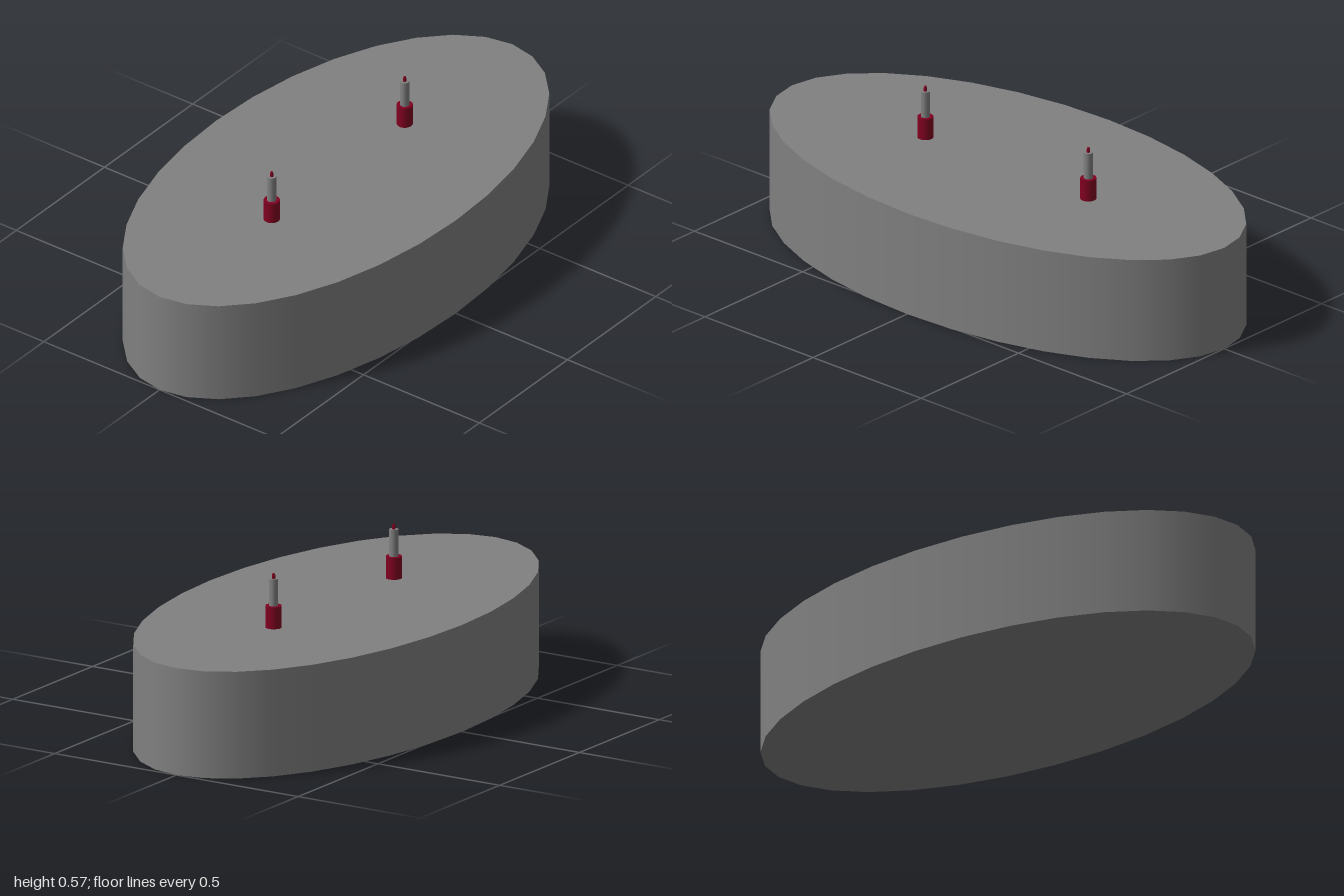
import * as THREE from 'three';

export function createModel() {
  const model = new THREE.Group();
  model.name = 'ovalBaseWithCandles';

  const grey = new THREE.MeshStandardMaterial({ color: 0x808080 });
  grey.name = 'grey';
  const burgundy = new THREE.MeshStandardMaterial({ color: 0x800020 });
  burgundy.name = 'burgundy';

  // Upright cylinder standing on height y
  function addCylinder(parent, name, material, rTop, rBottom, y, height, sides) {
    const geometry = new THREE.CylinderGeometry(rTop, rBottom, height, sides);
    geometry.translate(0, y + height / 2, 0);
    const mesh = new THREE.Mesh(geometry, material);
    mesh.name = name;
    parent.add(mesh);
    return mesh;
  }

  // Oval base: a 32-sided drum narrowed across x
  const base = addCylinder(model, 'ovalBase', grey, 1, 1, 0, 0.381, 32);
  base.geometry.scale(0.518, 1, 1);

  // Two candles: holder, stick and pointed wick
  for (const [name, z] of [['frontCandle', 0.375], ['backCandle', -0.379]]) {
    const candle = new THREE.Group();
    candle.name = name;
    candle.position.set(0.008, 0.381, z);
    addCylinder(candle, 'holder', burgundy, 0.028, 0.028, 0, 0.078, 24);
    addCylinder(candle, 'stick', grey, 0.016, 0.016, 0.078, 0.096, 20);
    addCylinder(candle, 'wick', burgundy, 0.006, 0.006, 0.174, 0.011, 12);
    addCylinder(candle, 'wickTip', burgundy, 0.003, 0.006, 0.185, 0.008, 12);
    model.add(candle);
  }

  return model;
}
